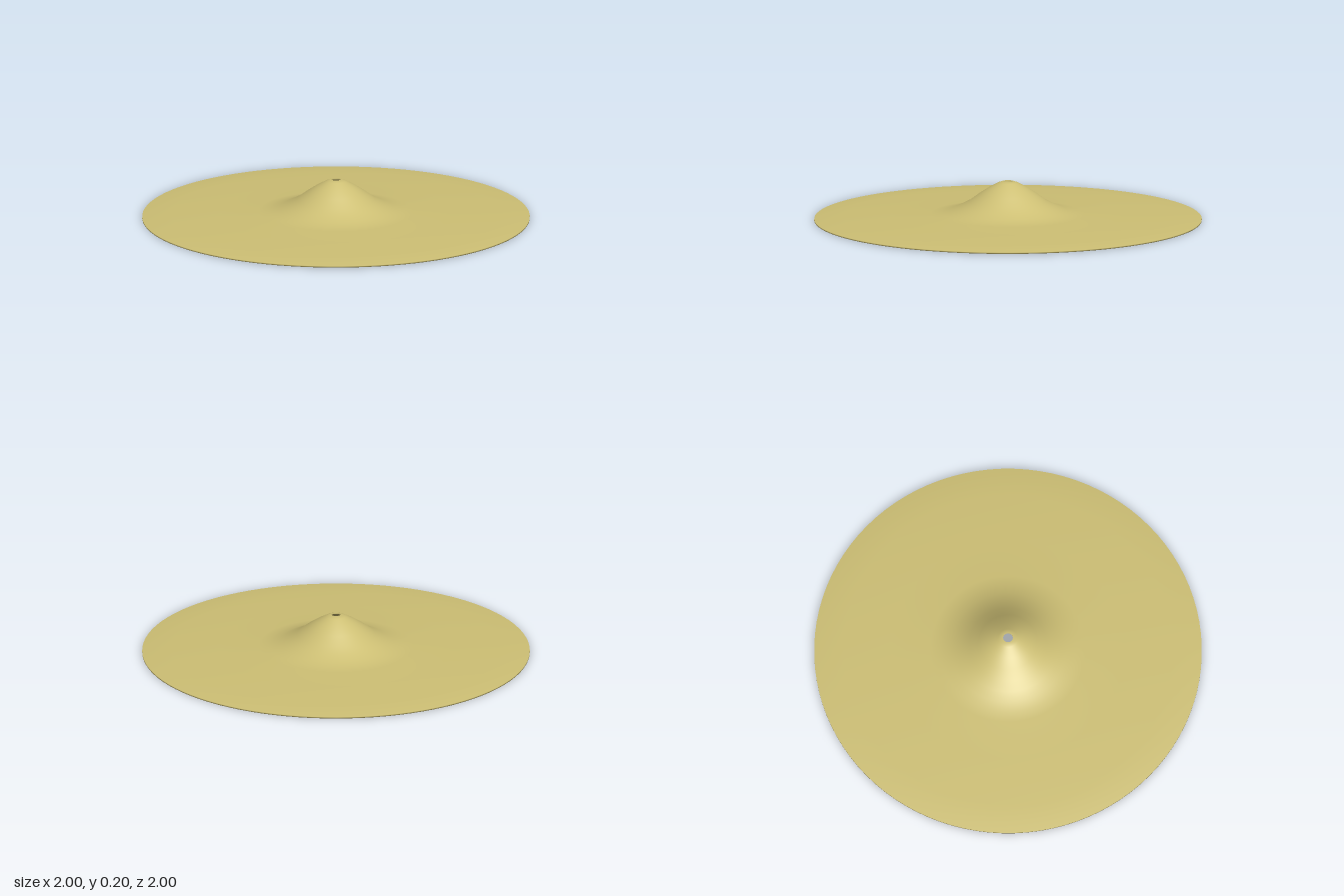
import * as THREE from 'three';

export function createModel() {
  const group = new THREE.Group();
  group.name = 'cymbal';
  const material = new THREE.MeshStandardMaterial({ color: 0xcdbf74 });

  // upper surface from the centre hole over the bell and bow to the rim: [radius, height]
  const top = [
    [0.025, 0.205], [0.05, 0.197], [0.1, 0.17], [0.15, 0.137], [0.2, 0.1],
    [0.25, 0.074], [0.3, 0.052], [0.35, 0.042], [0.4, 0.034], [0.6, 0.028],
    [0.85, 0.018], [1, 0.007],
  ];
  const thickness = 0.007;

  // closed section: underside outwards, rim, upper side inwards, hole wall
  const profile = [
    ...top.map(([r, y]) => new THREE.Vector2(r, y - thickness)),
    ...top.map(([r, y]) => new THREE.Vector2(r, y)).reverse(),
    new THREE.Vector2(top[0][0], top[0][1] - thickness),
  ];

  const plate = new THREE.Mesh(new THREE.LatheGeometry(profile, 96), material);
  plate.name = 'cymbalPlate';
  group.add(plate);
  return group;
}
